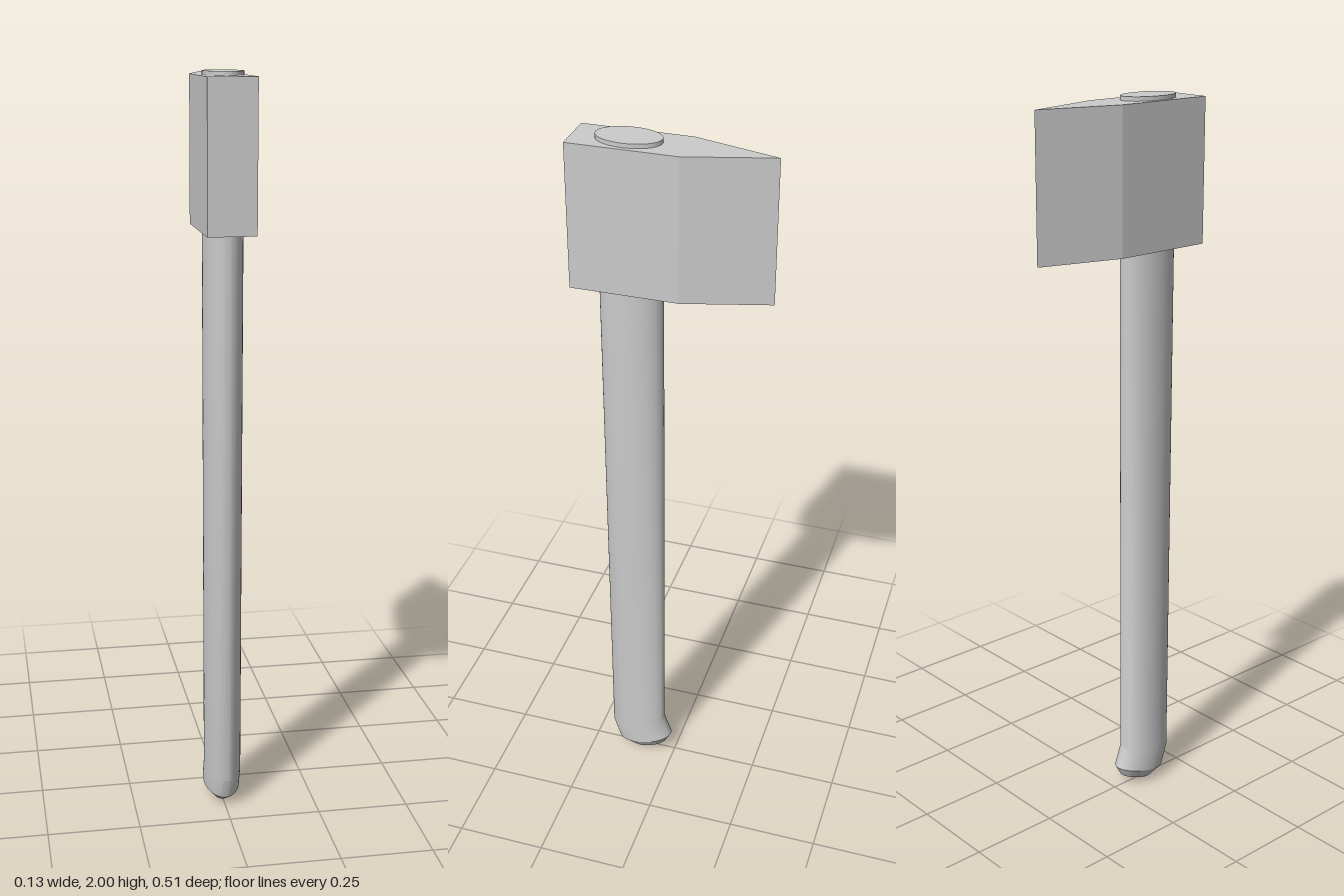
import * as THREE from 'three';
import { toCreasedNormals } from 'three/addons/utils/BufferGeometryUtils.js';

const SEGMENTS = 48;

// Closed loft through tilted ellipses: [front z, front y, back z, back y, half width]
function loftEllipses(rings) {
  const positions = [], index = [];
  const centre = ([fz, fy, bz, by]) => [0, (fy + by) / 2, (fz + bz) / 2];
  for (const ring of rings) {
    const [fz, fy, bz, by, rx] = ring;
    const [, cy, cz] = centre(ring);
    for (let i = 0; i < SEGMENTS; i++) {
      const a = (i / SEGMENTS) * Math.PI * 2;
      const c = Math.cos(a) / 2;
      positions.push(Math.sin(a) * rx, cy + c * (fy - by), cz + c * (fz - bz));
    }
  }
  const last = (rings.length - 1) * SEGMENTS;
  const bottom = rings.length * SEGMENTS, top = bottom + 1;
  positions.push(...centre(rings[0]), ...centre(rings[rings.length - 1]));
  for (let i = 0; i < SEGMENTS; i++) {
    const j = (i + 1) % SEGMENTS;
    for (let r = 0; r < last; r += SEGMENTS) {
      index.push(r + i, r + j, r + SEGMENTS + j, r + i, r + SEGMENTS + j, r + SEGMENTS + i);
    }
    index.push(bottom, j, i, top, last + i, last + j);
  }
  const geometry = new THREE.BufferGeometry();
  geometry.setAttribute('position', new THREE.Float32BufferAttribute(positions, 3));
  geometry.setIndex(index);
  return toCreasedNormals(geometry, 0.35);
}

export function createModel() {
  const model = new THREE.Group();
  const material = new THREE.MeshStandardMaterial({ color: 0xcccccc });
  const add = (name, geometry) => {
    const mesh = new THREE.Mesh(geometry, material);
    mesh.name = name;
    model.add(mesh);
    return mesh;
  };

  // Wedge-shaped head: square face in front, sharp edge at the back
  const outline = new THREE.Shape([
    new THREE.Vector2(-0.063, -0.257),
    new THREE.Vector2(0.063, -0.257),
    new THREE.Vector2(0.063, 0.03),
    new THREE.Vector2(0, 0.258),
    new THREE.Vector2(-0.063, 0.03),
  ]);
  const headGeometry = new THREE.ExtrudeGeometry(outline, { depth: 0.385, bevelEnabled: false });
  headGeometry.rotateX(-Math.PI / 2);
  add('head', headGeometry).position.y = 1.604;

  // Oval handle through the head, with a slanted, chamfered knob at the foot
  add('handle', loftEllipses([
    [0.133, 0.003, 0.028, 0.034, 0.03],
    [0.176, 0.03, 0.012, 0.064, 0.05],
    [0.195, 0.09, 0.034, 0.125, 0.05],
    [0.198, 1.6, 0.029, 1.6, 0.052],
    [0.198, 2.0, 0.029, 2.0, 0.052],
  ]));

  return model;
}
